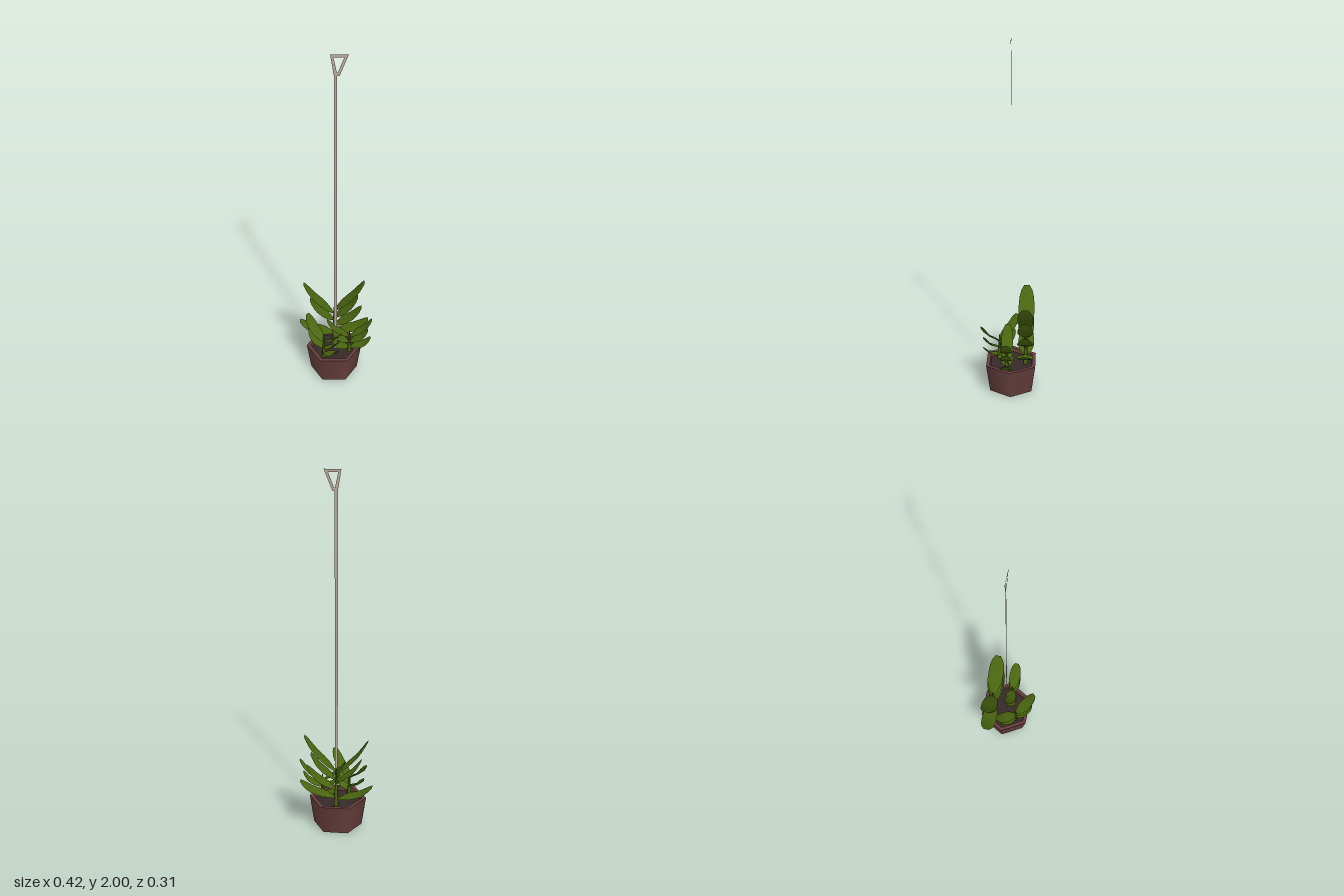
import * as THREE from 'three';

const mat = (name, color) => {
  const m = new THREE.MeshStandardMaterial({ color });
  m.name = name;
  return m;
};

// Leaf rising from (0, y0) to (r, y1), sagging a little midway; thin lens section.
function leafGeometry(r, y0, y1, halfWidth) {
  const stations = [[0, .15], [.1, .5], [.25, .86], [.4, 1], [.55, 1], [.7, .98], [.82, .88], [.92, .68], [1, .34]];
  const pos = [], index = [];
  stations.forEach(([t, w], i) => {
    const y = y0 + (y1 - y0) * t - .014 * Math.sin(Math.PI * t) + .006 * Math.sin(2 * Math.PI * t);
    const end = i === 0 || i === stations.length - 1;
    for (const side of [1, -1])
      for (const s of [-1, 0, 1])
        pos.push(r * t, y + (s === 0 && !end ? side * .006 : 0), s * w * halfWidth);
  });
  for (let i = 0; i < stations.length - 1; i++)
    for (let k = 0; k < 2; k++)
      for (let j = 0; j < 2; j++) {
        const a = i * 6 + k * 3 + j, b = a + 1, c = a + 6, d = a + 7;
        if (k === 0) index.push(a, b, c, b, d, c);
        else index.push(a, c, b, b, c, d);
      }
  const g = new THREE.BufferGeometry();
  g.setAttribute('position', new THREE.Float32BufferAttribute(pos, 3));
  g.setIndex(index);
  g.computeVertexNormals();
  return g;
}

export function createModel() {
  const clay = mat('clay', 0x663f3d);
  const soilMat = mat('soil', 0x362929);
  const green = mat('leafGreen', 0x4a6610);
  const metal = mat('paleMetal', 0xb8ab9a);
  metal.side = THREE.DoubleSide;

  const model = new THREE.Group();
  const add = (parent, name, geo, material) => {
    const m = new THREE.Mesh(geo, material);
    m.name = name;
    parent.add(m);
    return m;
  };

  // Hexagonal pot, with its points on the x axis
  const pot = new THREE.Group();
  pot.name = 'pot';
  pot.position.set(-.01, 0, -.018);
  pot.rotation.y = Math.PI / 6;
  model.add(pot);
  const H = .165;
  add(pot, 'potWall', new THREE.CylinderGeometry(.16, .136, H, 6, 1, true), clay).position.y = H / 2;
  add(pot, 'potBase', new THREE.CircleGeometry(.136, 6, Math.PI / 2).rotateX(Math.PI / 2), clay);
  add(pot, 'potRim', new THREE.RingGeometry(.137, .16, 6, 1, Math.PI / 2).rotateX(-Math.PI / 2), clay).position.y = H;
  // Inner wall: an open cylinder mirrored to face inwards
  const inner = new THREE.CylinderGeometry(.137, .133, .025, 6, 1, true);
  inner.setIndex(Array.from(inner.index.array).reverse());
  inner.computeVertexNormals();
  add(pot, 'potInnerWall', inner, clay).position.y = H - .0125;
  add(pot, 'soil', new THREE.CircleGeometry(.134, 6, Math.PI / 2).rotateX(-Math.PI / 2), soilMat).position.y = H - .022;

  // Fan plants: each leaf is [signed reach, base height, tip height]
  const plants = [
    { name: 'backPlant', x: -.01, z: -.1, turn: 0, top: .385, half: .045, leaves: [
      [-.175, .34, .555], [.175, .36, .57], [-.14, .29, .44], [.14, .31, .465],
      [.16, .25, .385], [-.2, .19, .28], [.2, .2, .295]] },
    { name: 'rightPlant', x: .08, z: .004, turn: 0, top: .29, half: .033, leaves: [
      [.128, .25, .375], [-.13, .25, .37], [.108, .21, .30], [-.1, .21, .29],
      [.122, .17, .24], [-.1, .17, .22]] },
    { name: 'frontPlant', x: -.068, z: .052, turn: -Math.PI / 4, top: .29, half: .033, leaves: [
      [.135, .25, .39], [-.137, .25, .38], [.115, .21, .315], [-.115, .2, .29],
      [.115, .17, .25]] },
  ];
  for (const p of plants) {
    const plant = new THREE.Group();
    plant.name = p.name;
    plant.position.set(p.x, 0, p.z);
    plant.rotation.y = p.turn;
    model.add(plant);
    const len = p.top - .13;
    add(plant, 'stem', new THREE.CylinderGeometry(.003, .014, len, 6), green).position.y = .13 + len / 2;
    for (const [r, y0, y1] of p.leaves) {
      const leaf = add(plant, 'leaf', leafGeometry(Math.abs(r), y0, y1, p.half), green);
      if (r < 0) leaf.rotation.y = Math.PI;
    }
  }

  // Flat hanging rod with a triangular hook, lying in one vertical plane
  const hanger = new THREE.Group();
  hanger.name = 'hanger';
  hanger.position.z = -.016;
  model.add(hanger);
  const poly = (pts) => pts.map(([x, y]) => new THREE.Vector2(x, y));
  const rod = new THREE.Shape(poly([[-.009, .14], [.007, .14], [.007, 1.895], [-.009, 1.895]]));
  add(hanger, 'rod', new THREE.ShapeGeometry(rod), metal);
  const hook = new THREE.Shape(poly([[-.009, 1.89], [.019, 1.89], [.063, 2], [-.027, 2]]));
  hook.holes.push(new THREE.Path(poly([[.005, 1.908], [-.011, 1.985], [.041, 1.985], [.011, 1.908]])));
  add(hanger, 'hook', new THREE.ShapeGeometry(hook), metal);

  return model;
}
